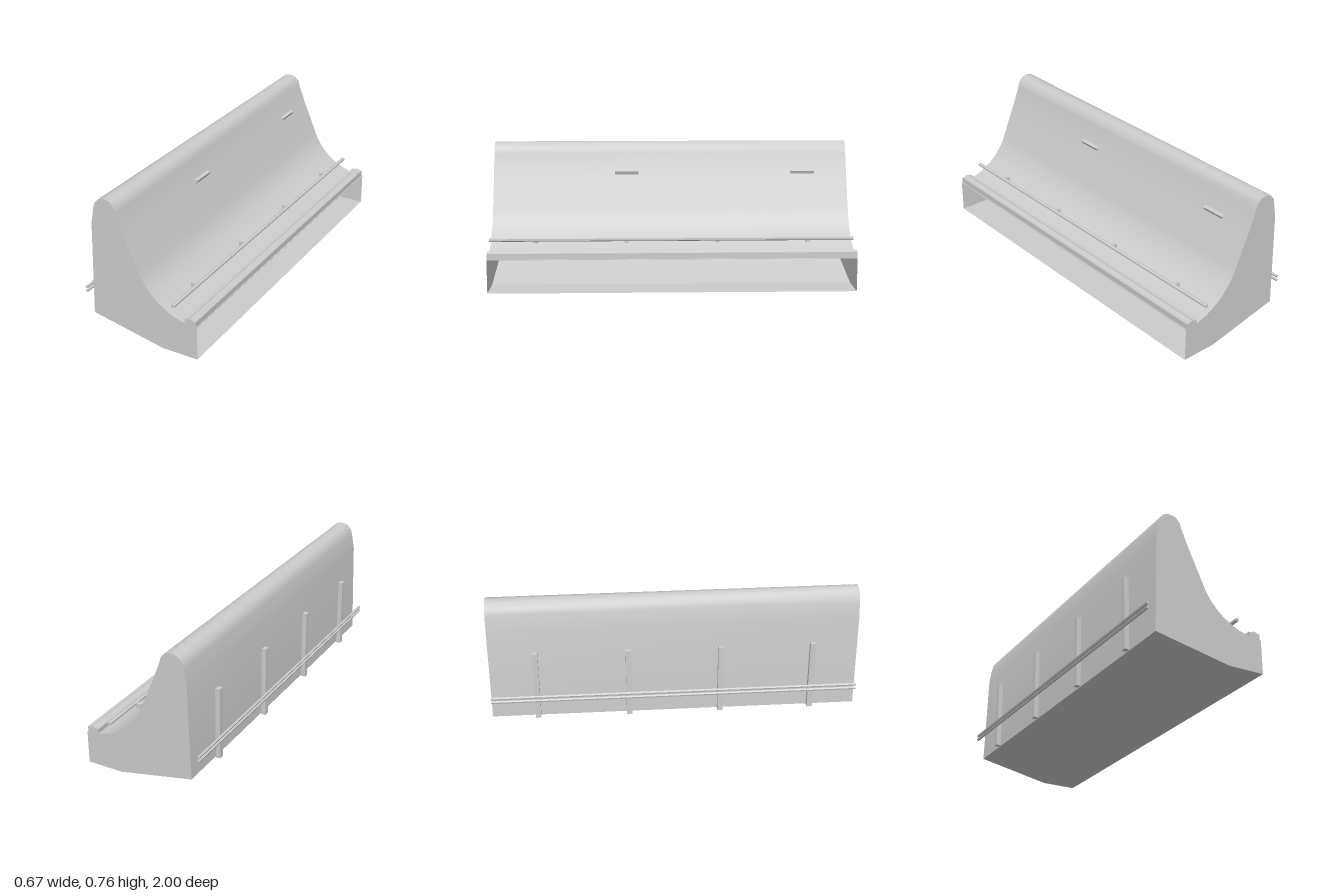
import * as THREE from 'three';
import { toCreasedNormals } from 'three/addons/utils/BufferGeometryUtils.js';

const LENGTH = 2;

// Sheet swept along z from a list of [x, y] points
function sweep(points, crease) {
  const pos = [], idx = [];
  points.forEach(([x, y], i) => {
    pos.push(x, y, LENGTH / 2, x, y, -LENGTH / 2);
    if (i < points.length - 1) {
      const a = 2 * i;
      idx.push(a, a + 2, a + 1, a + 2, a + 3, a + 1);
    }
  });
  const g = new THREE.BufferGeometry();
  g.setAttribute('position', new THREE.Float32BufferAttribute(pos, 3));
  g.setIndex(idx);
  return toCreasedNormals(g, crease);
}

const shapeOf = (pts) => new THREE.Shape(pts.map(([x, y]) => new THREE.Vector2(x, y)));

export function createModel() {
  const model = new THREE.Group();
  model.name = 'curvedSeaWall';
  const concrete = new THREE.MeshStandardMaterial({ color: 0xcccccc, side: THREE.DoubleSide });
  concrete.name = 'paleGrey';

  const add = (name, geometry, x = 0, y = 0, z = 0) => {
    const m = new THREE.Mesh(geometry, concrete);
    m.name = name;
    m.position.set(x, y, z);
    model.add(m);
    return m;
  };

  // Wall skin: up the back, over the crest, down the concave face
  const skin = [
    [-0.287, 0.085], [-0.271, 0.607], [-0.255, 0.695], [-0.247, 0.727], [-0.221, 0.755],
    [-0.188, 0.763], [-0.154, 0.755], [-0.13, 0.729], [-0.122, 0.698], [-0.084, 0.6],
    [-0.04, 0.499], [0.001, 0.402], [0.015, 0.371], [0.043, 0.328], [0.075, 0.292],
    [0.11, 0.26], [0.15, 0.234], [0.195, 0.211], [0.24, 0.196], [0.262, 0.192],
  ];
  add('wallSkin', sweep(skin, 0.7));

  // Underside; the long side below the lip stays open
  const floor = [[0.333, 0], [0.132, 0], [-0.287, 0.085]];
  add('underside', sweep(floor, 0.1));

  // End walls
  const outline = [...skin, [0.262, 0.183], [0.333, 0.183], [0.333, 0], [0.132, 0]];
  for (const s of [1, -1]) {
    const end = add(s > 0 ? 'frontEnd' : 'backEnd', new THREE.ShapeGeometry(shapeOf(outline)), 0, 0, s * LENGTH / 2);
    if (s < 0) {
      // Turn the back end outward by mirroring its outline
      end.geometry.scale(-1, 1, 1);
      end.geometry.dispose();
      end.geometry = new THREE.ShapeGeometry(shapeOf(outline.map(([x, y]) => [-x, y])));
      end.rotation.y = Math.PI;
    }
  }

  // Raised lip with a rounded ridge
  const lip = [
    [0.262, 0.183], [0.333, 0.183], [0.333, 0.185], [0.327, 0.185], [0.327, 0.217], [0.311, 0.217],
    [0.304, 0.222], [0.295, 0.225], [0.286, 0.222], [0.279, 0.217], [0.262, 0.217],
  ];
  add('lip', new THREE.ExtrudeGeometry(shapeOf(lip), { depth: LENGTH, bevelEnabled: false }), 0, 0, -LENGTH / 2);

  // Long rails
  const rail = (name, r, sides, x, y) => {
    const g = new THREE.CylinderGeometry(r, r, LENGTH, sides).rotateX(-Math.PI / 2);
    add(name, toCreasedNormals(g, 0.3), x, y, 0);
  };
  rail('frontRail', 0.011, 6, 0.195, 0.267);
  rail('upperBackRail', 0.008, 5, -0.328, 0.225);
  rail('lowerBackRail', 0.008, 5, -0.328, 0.202);

  // Back ribs and front rail brackets
  for (const z of [-0.75, -0.25, 0.25, 0.75]) {
    add('backRib', new THREE.BoxGeometry(0.026, 0.4, 0.03), -0.305, 0.285, z);
    add('railBracket', new THREE.BoxGeometry(0.032, 0.026, 0.025), 0.171, 0.257, z);
  }

  // Small tilted bars on the concave face
  for (const z of [-0.75, 0.25]) {
    add('faceBar', new THREE.BoxGeometry(0.02, 0.018, 0.133), -0.0837, 0.5976, z).rotation.z = -0.4;
  }
  return model;
}
